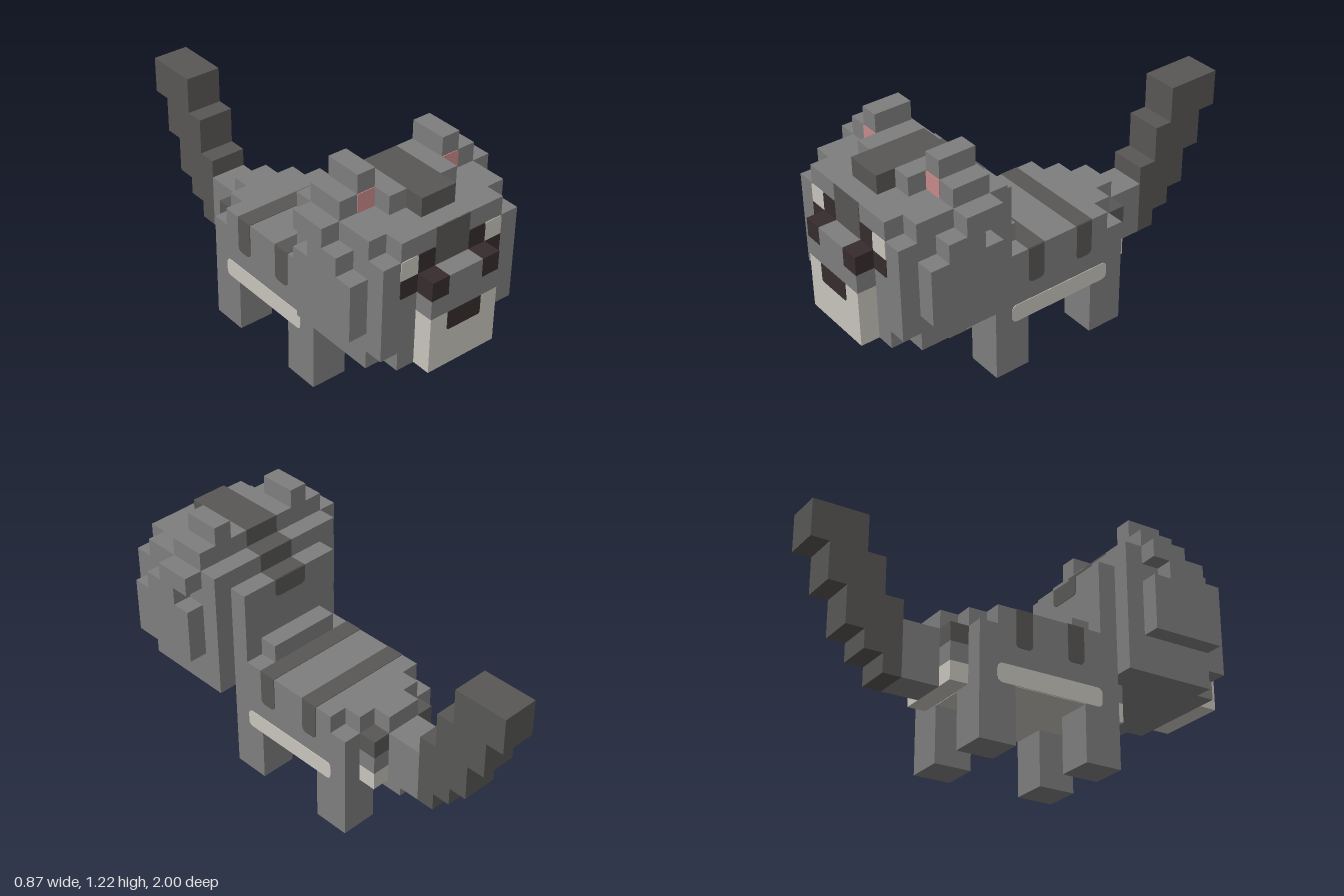
import * as THREE from 'three';

const U = 2 / 23;      // one block
const T = 0.006;       // painted plate thickness
const make = (name, color) => {
  const m = new THREE.MeshStandardMaterial({ color });
  m.name = name;
  return m;
};

export function createModel() {
  const grey = make('fur grey', 0x7f7e7e);
  const dark = make('stripe grey', 0x585755);
  const cream = make('cream', 0xc8c5bd);
  const black = make('mask brown', 0x372c2e);
  const pink = make('ear pink', 0xc98a8a);
  const root = new THREE.Group();
  root.name = 'blockCat';
  const part = (name) => {
    const g = new THREE.Group();
    g.name = name;
    root.add(g);
    return g;
  };

  // Box from block coordinates; z counts from the tail tip (0) to the snout (23)
  const box = (g, name, mat, x0, x1, y0, y1, z0, z1, grow = 0) => {
    const geo = new THREE.BoxGeometry((x1 - x0) * U + grow, (y1 - y0) * U + grow, (z1 - z0) * U + grow);
    const mesh = new THREE.Mesh(geo, mat);
    mesh.name = name;
    mesh.position.set((x0 + x1) / 2 * U, (y0 + y1) / 2 * U, ((z0 + z1) / 2 - 11.5) * U);
    g.add(mesh);
  };
  const pair = (g, name, mat, x0, x1, ...rest) => {
    box(g, name, mat, x0, x1, ...rest);
    box(g, name, mat, -x1, -x0, ...rest);
  };

  // Thin painted plate with rounded bottom corners and optionally rounded top corners
  const plate = (w, h, rBottom, rTop) => {
    const a = w * U / 2, b = h * U / 2, p = rBottom * U, q = rTop * U;
    const s = new THREE.Shape();
    s.moveTo(-a + p, -b);
    s.lineTo(a - p, -b);
    s.quadraticCurveTo(a, -b, a, -b + p);
    s.lineTo(a, b - q);
    s.quadraticCurveTo(a, b, a - q, b);
    s.lineTo(-a + q, b);
    s.quadraticCurveTo(-a, b, -a, b - q);
    s.lineTo(-a, -b + p);
    s.quadraticCurveTo(-a, -b, -a + p, -b);
    const geo = new THREE.ExtrudeGeometry(s, { depth: T, bevelEnabled: false, curveSegments: 5 });
    return geo.translate(0, 0, -T / 2);
  };
  const addPlate = (g, name, mat, geo, x, y, z) => {
    const mesh = new THREE.Mesh(geo, mat);
    mesh.name = name;
    mesh.position.set(x * U, y * U, (z - 11.5) * U);
    g.add(mesh);
    return mesh;
  };

  // Body
  const body = part('body');
  box(body, 'torso', grey, -3, 3, 3, 7, 9, 16);
  box(body, 'hips', grey, -3, 3, 3, 6, 8, 9);
  box(body, 'hipTop', grey, -2, 2, 6, 7, 8, 9);
  box(body, 'neck', grey, -2, 2, 7, 8, 14, 15);
  box(body, 'chest', grey, -2, 2, 4, 5, 16, 17);
  box(body, 'chestFur', cream, -2, 2, 3, 4, 16, 17);
  box(body, 'rumpFur', cream, -2, 2, 3, 4, 7, 8);
  box(body, 'rump', grey, -2, 2, 4, 5, 7, 8);
  pair(body, 'rumpStripe', dark, 1, 2, 5, 6, 7, 8);
  box(body, 'rumpTop', grey, -1, 1, 5, 7, 7, 8);
  box(body, 'bellyFur', cream, -2.98, 2.98, 2.97, 3.02, 8.02, 15.98);
  for (const side of [-1, 1]) {
    addPlate(body, 'flankFur', cream, plate(6, 1, 0.3, 0.3), side * 3, 3.5, 12).rotation.y = Math.PI / 2;
    for (const z of [10.5, 13.5])
      addPlate(body, 'flankStripe', dark, plate(0.96, 2, 0.3, 0), side * 3, 6, z).rotation.y = Math.PI / 2;
  }
  for (const z of [10, 13]) box(body, 'backStripe', dark, -3, 3, 6.97, 7.03, z, z + 1);

  // Legs
  const legs = part('legs');
  pair(legs, 'frontLeg', grey, 1, 3, 0, 3.1, 14, 16);
  pair(legs, 'backLeg', grey, 1, 3, 0, 3.1, 8, 10);

  // Tail, rising in steps: [y0, y1] for each slice from tip to base
  const tail = part('tail');
  box(tail, 'tailBase', grey, -1, 1, 3, 6, 5, 7);
  [[9, 11], [7, 11], [5, 11], [4, 9], [3, 7]].forEach(([y0, y1], z) =>
    box(tail, 'tailStep', dark, -1, 1, y0, y1, z, z + 1));

  // Head
  const head = part('head');
  box(head, 'skull', grey, -4, 4, 5, 12, 16, 21);
  box(head, 'headBack', grey, -3, 3, 5, 11, 15, 16);
  box(head, 'face', grey, -3, 3, 5, 12, 21, 22);
  box(head, 'faceSides', grey, -4, 4, 6, 11, 21, 22);
  pair(head, 'cheek', grey, 4, 5, 7, 10, 17, 21);
  pair(head, 'cheekMiddle', grey, 4, 5, 10, 11, 18, 20);
  pair(head, 'cheekTop', grey, 4, 5, 11, 12, 17, 19);
  pair(head, 'crown', grey, 1, 2, 12, 13, 17, 20);
  pair(head, 'crownSide', grey, 2, 4, 12, 13, 17, 19);

  // Stripe over the head
  box(head, 'crownStripe', dark, -1, 1, 12, 13, 17, 21);
  box(head, 'napeStripe', dark, -1, 1, 11, 12, 16, 17, T);
  box(head, 'napeTop', dark, -1, 1, 10.97, 11.03, 15, 16);
  addPlate(head, 'napeEnd', dark, plate(2, 1, 0.3, 0), 0, 10.5, 15);
  addPlate(head, 'foreheadStripe', dark, plate(2, 2, 0, 0), 0, 11, 22);

  // Ears
  const ears = part('ears');
  pair(ears, 'ear', grey, 2, 3, 12, 14, 17, 19);
  for (const s of [-1, 1]) addPlate(ears, 'innerEar', pink, plate(1, 1, 0.1, 0.1), s * 2.5, 12.5, 19);

  // Snout, nose and eyes
  const face = part('snoutAndEyes');
  box(face, 'muzzle', cream, -2, 2, 5, 8, 22, 23);
  box(face, 'bridge', grey, -2, 2, 8, 9, 22, 23);
  box(face, 'bridgeTop', grey, -1, 1, 9, 10, 22, 23);
  pair(face, 'innerEyeBlock', black, 1, 2, 9, 10, 22, 23);
  addPlate(face, 'nose', black, plate(2, 1, 0.12, 0), 0, 7.5, 23);
  for (const s of [-1, 1]) {
    addPlate(face, 'innerEye', black, plate(1, 1, 0, 0.12), s * 1.5, 10.5, 22);
    addPlate(face, 'lowerEye', black, plate(1, 1, 0.12, 0), s * 2.5, 9.5, 22);
    addPlate(face, 'eyeWhite', cream, plate(1, 1, 0, 0.12), s * 2.5, 10.5, 22);
  }
  return root;
}
